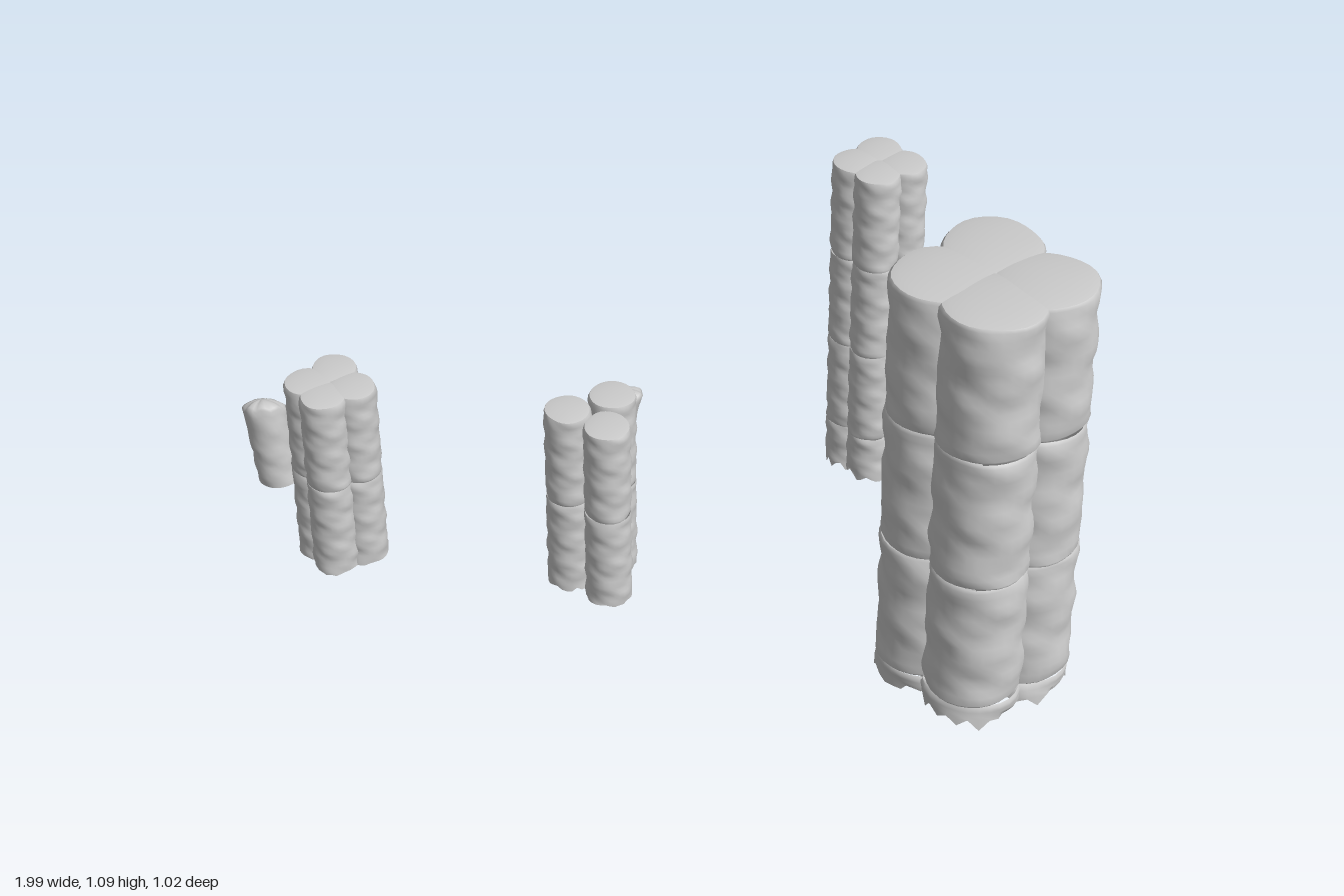
import * as THREE from 'three';
import { mergeVertices, mergeGeometries } from 'three/addons/utils/BufferGeometryUtils.js';

const RADIAL = 28;
const material = new THREE.MeshStandardMaterial({ color: 0xcccccc, side: THREE.DoubleSide });

// repeatable value in 0..1
const hash = (n) => {
  const s = Math.sin(n * 127.1 + 11.7) * 43758.5453;
  return s - Math.floor(s);
};

// relative radius of the lumpy skin; diagonal ripples, periodic around the axis
function ripple(a, v, seed) {
  const p = hash(seed) * 6.28, q = hash(seed + 5) * 6.28;
  return 1 + 0.022 * Math.sin(2 * a + 4.3 * v + p) + 0.02 * Math.sin(3 * a - 6.1 * v + q)
    + 0.014 * Math.sin(5 * a + 9.2 * v + p + q) * Math.sin(2 * v - a + p);
}

// revolve a profile, then move each vertex by the rule (x, y, z are read and returned)
function revolve(points, rule) {
  const g = new THREE.LatheGeometry(points.map(([x, y]) => new THREE.Vector2(x, y)), RADIAL);
  g.deleteAttribute('uv');
  g.deleteAttribute('normal');
  const pos = g.attributes.position;
  for (let i = 0; i < pos.count; i++) {
    const x = pos.getX(i), z = pos.getZ(i);
    const step = Math.round((Math.atan2(x, z) / (Math.PI * 2) + 1) * RADIAL) % RADIAL;
    pos.setXYZ(i, ...rule(x, pos.getY(i), z, step));
  }
  const merged = mergeVertices(g, 1e-6);
  merged.computeVertexNormals();
  return merged;
}

// side wall of one segment, pinched at its ends
function wallProfile(r, y0, y1, pinchBottom = true) {
  const pinch = 0.007;
  const rows = Math.max(3, Math.ceil((y1 - y0) / r * 5));
  const pts = [[r * (pinchBottom ? 0.955 : 1), y0]];
  for (let i = 0; i <= rows; i++) {
    pts.push([r, THREE.MathUtils.lerp(y0 + pinch, y1 - pinch, i / rows)]);
  }
  pts.push([r * 0.955, y1]);
  return pts;
}

// one column: stacked segments between the ring heights, with a shallow domed cap
function column(r, rings, seed, jag) {
  const parts = [];
  for (let s = 0; s < rings.length - 1; s++) {
    const y0 = rings[s], y1 = rings[s + 1];
    const rule = (x, y, z, step) => {
      const k = ripple(step / RADIAL * Math.PI * 2, y / r, seed + s * 13);
      // ragged lower rim
      const drop = s === 0 && y < y0 + 1e-5 ? (hash(seed * 3 + step) - 0.55) * jag : 0;
      return [x * k, y + drop, z * k];
    };
    parts.push(revolve(wallProfile(r, y0, y1, s > 0), rule));
    if (s === rings.length - 2) {
      const cap = [[0.955, 0], [0.8, 0.03], [0.5, 0.055], [0.25, 0.065], [0, 0.07]];
      parts.push(revolve(cap.map(([a, b]) => [a * r, y1 + b * r]),
        (x, y, z, step) => {
          const k = ripple(step / RADIAL * Math.PI * 2, y1 / r, seed + s * 13);
          return [x * k, y, z * k];
        }));
    }
  }
  return mergeGeometries(parts);
}

// stand a group on its base and lean it so its axis passes through the top point
function place(group, base, top) {
  const dir = new THREE.Vector3(...top).sub(new THREE.Vector3(...base)).normalize();
  group.position.set(...base);
  group.quaternion.setFromUnitVectors(new THREE.Vector3(0, 1, 0), dir);
}

// bundle of touching columns
function cluster({ name, r, rings, spots, base, top, jag = 0, seed }) {
  const group = new THREE.Group();
  group.name = name;
  spots.forEach(([x, z], i) => {
    const mesh = new THREE.Mesh(column(r, rings, seed + i * 31, jag), material);
    mesh.name = 'column';
    mesh.position.set(x, 0, z);
    group.add(mesh);
  });
  place(group, base, top);
  return group;
}

// single short column with a slanted, rounded broken tip
function stump({ name, r, height, slope, base, top, seed }) {
  const pts = [];
  for (let i = 0; i <= 14; i++) pts.push([r, height * i / 14]);
  for (const [a, b] of [[0.9, 0.15], [0.72, 0.3], [0.5, 0.42], [0.25, 0.5], [0, 0.52]]) {
    pts.push([a * r, height + b * r]);
  }
  const geometry = revolve(pts, (x, y, z, step) => {
    const k = ripple(step / RADIAL * Math.PI * 2, y / r, seed);
    const w = THREE.MathUtils.smoothstep(y, height * 0.6, height);
    const rough = 0.004 * Math.sin(step * 1.7952 + seed) * Math.hypot(x, z) / r;
    return [x * k, y + w * (slope[0] * x + slope[1] * z + rough), z * k];
  });
  const mesh = new THREE.Mesh(geometry, material);
  mesh.name = name;
  place(mesh, base, top);
  return mesh;
}

export function createModel() {
  const model = new THREE.Group();
  model.name = 'columnField';

  model.add(
    cluster({
      name: 'tallCluster', r: 0.11, jag: 0.045, seed: 3,
      rings: [0.027, 0.07, 0.405, 0.74, 1.075],
      spots: [[-0.01, -0.11], [-0.105, 0.015], [0.105, 0.01], [0.005, 0.1]],
      base: [0.78, 0, 0.295], top: [0.753, 1.08, 0.273],
    }),
    cluster({
      name: 'slenderCluster', r: 0.054, jag: 0.025, seed: 170,
      rings: [0.044, 0.16, 0.403, 0.647, 0.888],
      spots: [[-0.005, -0.053], [-0.055, 0.005], [0.055, 0], [0, 0.05]],
      base: [0.485, 0, -0.39], top: [0.465, 0.89, -0.405],
    }),
    cluster({
      name: 'shortCluster', r: 0.053, jag: 0.006, seed: 330,
      rings: [0.062, 0.307, 0.548],
      spots: [[-0.005, -0.052], [-0.051, 0.008], [0.053, 0.008], [-0.005, 0.052]],
      base: [-0.705, 0, 0.172], top: [-0.705, 1, 0.172],
    }),
    cluster({
      name: 'tripleCluster', r: 0.053, jag: 0.012, seed: 510,
      rings: [0.06, 0.307, 0.548],
      spots: [[0.04, -0.06], [-0.05, 0.008], [0.047, 0.053]],
      base: [-0.11, 0, 0.18], top: [-0.11, 1, 0.18],
    }),
    stump({
      name: 'outerStump', r: 0.051, height: 0.205, slope: [0, 0.5], seed: 640,
      base: [-0.925, 0.06, -0.06], top: [-0.95, 0.29, -0.062],
    }),
    stump({
      name: 'rearStump', r: 0.051, height: 0.2, slope: [0.55, 0.2], seed: 720,
      base: [-0.158, 0.042, -0.262], top: [-0.112, 0.28, -0.266],
    }),
  );
  return model;
}
